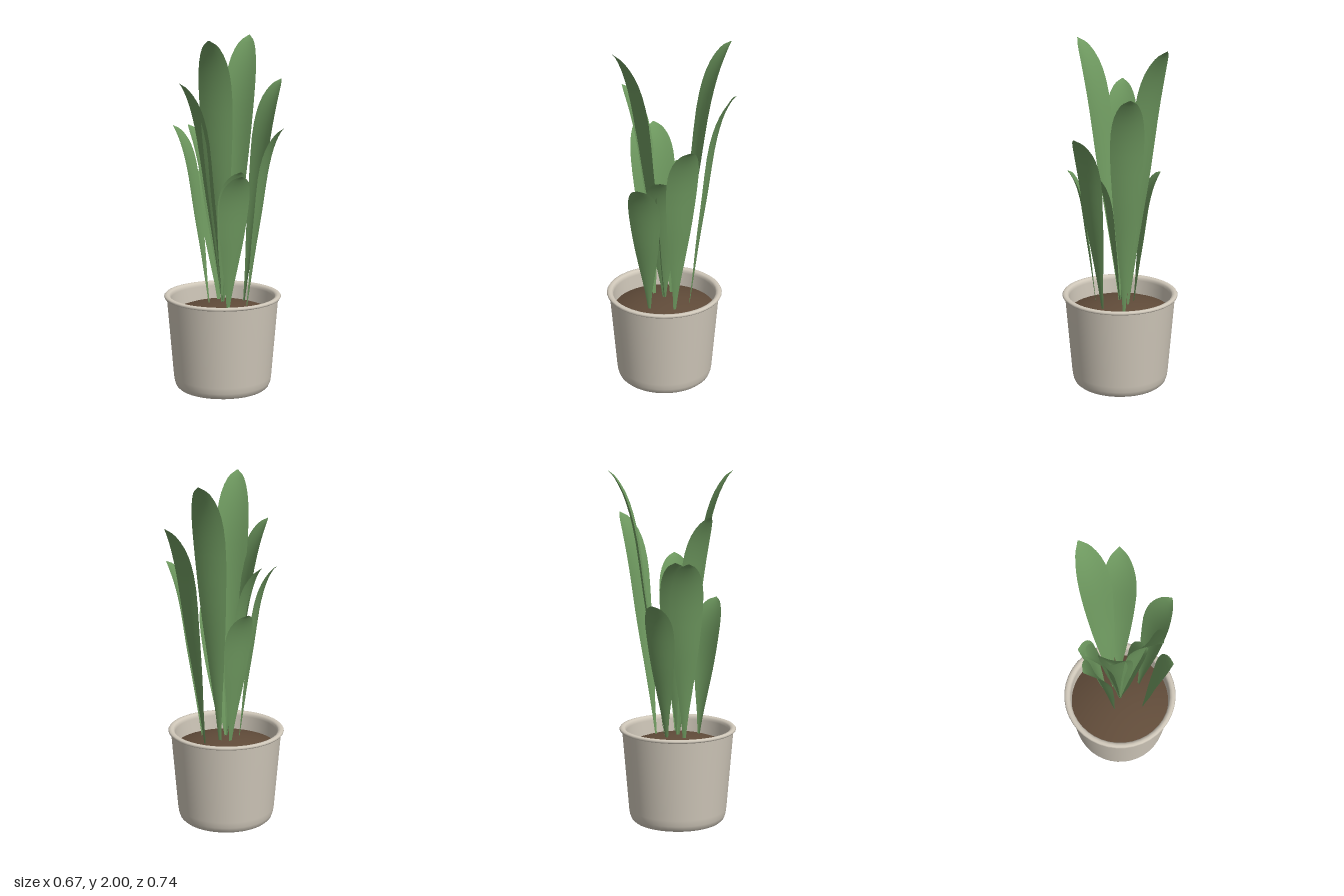
import * as THREE from 'three';

const CENTER_Z = 0.035; // pot axis
const SOIL_Y = 0.47;

// Leaf rule: x = outward reach (fraction), y = height (fraction), z = half width
const leafCurve = new THREE.CatmullRomCurve3([
  [0, 0, 0.007], [0.1, 0.15, 0.022], [0.22, 0.33, 0.048], [0.37, 0.53, 0.074],
  [0.54, 0.77, 0.093], [0.7, 0.895, 0.084], [0.89, 0.975, 0.046], [1, 1, 0.003],
].map((p) => new THREE.Vector3(...p)));

function leafGeometry([bx, bz], [tx, tz], topY) {
  const reach = Math.hypot(tx - bx, tz - bz);
  const ox = (tx - bx) / reach, oz = (tz - bz) / reach;
  const geo = new THREE.PlaneGeometry(1, 1, 6, 20);
  const pos = geo.attributes.position;
  for (let i = 0; i < pos.count; i++) {
    const u = pos.getX(i) * 2;
    const p = leafCurve.getPoint(pos.getY(i) + 0.5);
    const side = u * p.z;
    // edges cup gently inward
    const out = p.x * reach - 0.18 * p.z * u * u;
    pos.setXYZ(i, bx + ox * out + oz * side, SOIL_Y + p.y * (topY - SOIL_Y), bz + oz * out - ox * side);
  }
  geo.computeVertexNormals();
  return geo;
}

function lathe(points, segments) {
  return new THREE.LatheGeometry(points.map((p) => new THREE.Vector2(...p)), segments);
}

export function createModel() {
  const ceramic = new THREE.MeshStandardMaterial({ color: 0xd0c8ba });
  ceramic.name = 'ceramic';
  const earth = new THREE.MeshStandardMaterial({ color: 0x604b39 });
  earth.name = 'earth';
  const green = new THREE.MeshStandardMaterial({ color: 0x6f9a60, side: THREE.DoubleSide });
  green.name = 'leafGreen';

  const model = new THREE.Group();
  model.name = 'pottedPlant';
  const add = (name, geo, mat, parent = model) => {
    const mesh = new THREE.Mesh(geo, mat);
    mesh.name = name;
    parent.add(mesh);
    return mesh;
  };

  // Pot: tapered wall, then rounded rim and inner wall
  const pot = new THREE.Group();
  pot.name = 'pot';
  pot.position.z = CENTER_Z;
  model.add(pot);
  add('potBase', lathe([[0, 0], [0.255, 0]], 40), ceramic, pot);
  add('potWall', lathe([[0.255, 0], [0.268, 0.012], [0.277, 0.035], [0.282, 0.07], [0.319, 0.525]], 40), ceramic, pot);
  add('potRim', lathe([[0.319, 0.525], [0.331, 0.529], [0.335, 0.537], [0.33, 0.544], [0.318, 0.547],
    [0.306, 0.543], [0.299, 0.534], [0.297, 0.52], [0.293, 0.41]], 40), ceramic, pot);

  // Soil: shallow dome inside the pot
  const dome = [];
  for (let i = 0; i <= 8; i++) {
    const r = i / 8;
    dome.push([0.295 * r, 0.5 - 0.065 * r * r]);
  }
  add('soil', lathe(dome.reverse(), 40), earth, pot);

  // Leaves: base (x, z), tip (x, z), tip height
  const leaves = new THREE.Group();
  leaves.name = 'leaves';
  model.add(leaves);
  [
    [[0, 0.035], [0.19, 0.28], 2.0],
    [[-0.03, -0.035], [-0.18, -0.31], 2.0],
    [[0, 0.035], [-0.07, 0.283], 1.757],
    [[0.01, -0.115], [0.035, -0.37], 1.757],
    [[0, 0.035], [-0.195, 0.13], 1.51],
    [[0.12, -0.045], [0.3, -0.158], 1.51],
    [[-0.04, 0.1], [-0.212, 0.222], 1.51],
    [[0, 0.035], [0.157, 0.03], 1.268],
    [[0.13, 0.1], [0.285, 0.13], 1.268],
    [[-0.073, 0.005], [-0.228, -0.003], 1.268],
  ].forEach(([base, tip, topY], i) => add(`leaf${i + 1}`, leafGeometry(base, tip, topY), green, leaves));

  return model;
}
